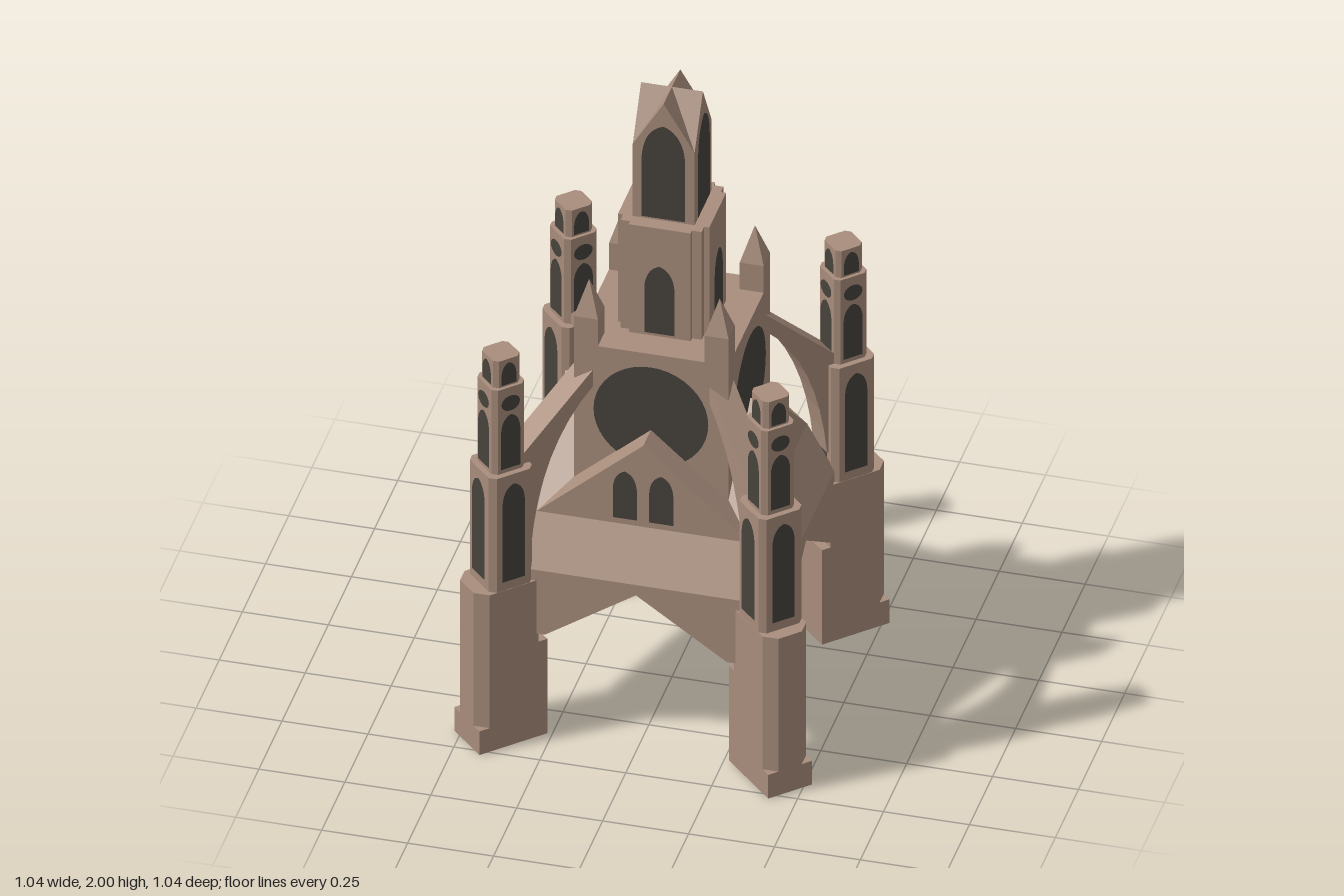
import * as THREE from 'three';

const stone = new THREE.MeshStandardMaterial({ color: 0xa88d7c });
stone.name = 'stone';
const darkGlass = new THREE.MeshStandardMaterial({ color: 0x47433c });
darkGlass.name = 'darkGlass';

function mesh(name, geometry, material = stone) {
  const m = new THREE.Mesh(geometry, material);
  m.name = name;
  return m;
}

// Upright prism over a plan outline
function prism(plan, y0, y1) {
  const shape = new THREE.Shape(plan.map(([x, z]) => new THREE.Vector2(x, -z)));
  const g = new THREE.ExtrudeGeometry(shape, { depth: y1 - y0, bevelEnabled: false });
  return g.rotateX(-Math.PI / 2).translate(0, y0, 0);
}

function box(x0, x1, y0, y1, z0, z1) {
  return new THREE.BoxGeometry(x1 - x0, y1 - y0, z1 - z0)
    .translate((x0 + x1) / 2, (y0 + y1) / 2, (z0 + z1) / 2);
}

// Flat-faced surface from convex polygons, repeated on all four sides
function fourSided(polygons) {
  const pos = [];
  for (let k = 0; k < 4; k++) {
    const turn = ([x, y, z]) => [[x, y, z], [z, y, -x], [-x, y, -z], [-z, y, x]][k];
    for (const p of polygons)
      for (let i = 1; i < p.length - 1; i++)
        pos.push(...turn(p[0]), ...turn(p[i]), ...turn(p[i + 1]));
  }
  const g = new THREE.BufferGeometry();
  g.setAttribute('position', new THREE.Float32BufferAttribute(pos, 3));
  g.computeVertexNormals();
  return g;
}

// Two crossing gable roofs with level ridges
function crossGable(h, base, top) {
  const c = [0, top, 0], f = [0, top, h], r = [h, base, h], l = [-h, base, h];
  return fourSided([[l, r, f], [c, f, r], [c, l, f]]);
}

// Square plan with cut corners
function chamfered(cx, a, c) {
  return [[a, a - c], [a - c, a], [c - a, a], [-a, a - c],
    [-a, c - a], [c - a, -a], [a - c, -a], [a, c - a]].map(([x, z]) => [x + cx, z]);
}

function archWindow(w, y0, y1, x = 0) {
  const s = new THREE.Shape(), r = w / 2, spring = y1 - w * 0.85;
  s.moveTo(x - r, y0);
  s.lineTo(x + r, y0);
  s.lineTo(x + r, spring);
  s.quadraticCurveTo(x + r * 0.9, y1 - w * 0.15, x, y1);
  s.quadraticCurveTo(x - r * 0.9, y1 - w * 0.15, x - r, spring);
  return new THREE.ShapeGeometry(s, 10);
}

// Copies of a flat pane on the four faces of a square tower
function panes(name, geometry, half, parent, cx = 0) {
  for (let k = 0; k < 4; k++) {
    const pivot = new THREE.Group();
    pivot.name = name;
    pivot.position.x = cx;
    pivot.rotation.y = k * Math.PI / 2;
    const pane = mesh(name + 'Pane', geometry, darkGlass);
    pane.position.z = half + 0.003;
    pivot.add(pane);
    parent.add(pivot);
  }
}

// Leg, turret and flying buttress; local +x points outward along the diagonal
function createCorner() {
  const g = new THREE.Group();
  const c = 0.555, t = 0.071, cut = 0.033;
  g.add(mesh('legPlinth', box(0.445, 0.665, 0, 0.08, -t, t)));
  g.add(mesh('legShaft', prism([[0.473, t], [0.665 - cut, t], [0.665, t - cut],
    [0.665, cut - t], [0.665 - cut, -t], [0.473, -t]], 0.08, 0.53)));
  g.add(mesh('legInnerPier', box(0.445, 0.5, 0.08, 0.32, -t, t)));

  // Stepped turret
  g.add(mesh('turretLower', prism(chamfered(c, 0.07, 0.017), 0.53, 0.915)));
  g.add(mesh('turretMiddle', prism(chamfered(c, 0.053, 0.014), 0.915, 1.2)));
  g.add(mesh('turretTop', prism(chamfered(c, 0.043, 0.013), 1.2, 1.29)));
  panes('turretLowerWindow', archWindow(0.072, 0.56, 0.885), 0.07, g, c);
  panes('turretMiddleWindow', archWindow(0.062, 0.93, 1.11), 0.053, g, c);
  const oculus = new THREE.CircleGeometry(0.03, 20).scale(1, 0.85, 1).translate(0, 1.148, 0);
  panes('turretOculus', oculus, 0.053, g, c);
  panes('turretTopWindow', archWindow(0.048, 1.207, 1.28), 0.043, g, c);

  // Buttress with a curved underside
  const s = new THREE.Shape();
  s.moveTo(0.2, 1.23);
  s.lineTo(0.2, 1.14);
  s.lineTo(0.28, 1.1);
  s.quadraticCurveTo(0.45, 0.95, 0.48, 0.62);
  s.lineTo(0.513, 0.62);
  s.lineTo(0.513, 0.94);
  const buttress = new THREE.ExtrudeGeometry(s, { depth: 0.078, bevelEnabled: false, curveSegments: 8 });
  g.add(mesh('flyingButtress', buttress.translate(0, 0, -0.039)));
  return g;
}

export function createModel() {
  const model = new THREE.Group();
  model.name = 'gothicTower';

  // Vaulted hall: arched walls, sloped band, corner faces and groin vault
  const C = [0, 0.53, 0], F = [0, 0.53, 0.39], K = [0.265, 0.35, 0.265], E = [0.265, 0.35, 0.39];
  const G = [0.31, 0.35, 0.39], D = [0.31, 0.565, 0.39], H = [0.39, 0.35, 0.31], I = [0.39, 0.565, 0.31];
  const P = [0.39, 0.35, 0.265], T = [0.31, 0.71, 0.31];
  const m = ([x, y, z]) => [-x, y, z];
  model.add(mesh('vaultedHall', fourSided([
    [m(D), m(G), m(E)], [m(D), m(E), F], [m(D), F, D], [F, E, D], [E, G, D],
    [m(D), D, T, m(T)],
    [G, H, I, D], [D, I, T],
    [C, K, E, F], [C, F, m(E), m(K)], [K, P, H, G, E],
  ])));
  model.add(mesh('hallRoof', crossGable(0.31, 0.71, 0.985)));
  for (const x of [-0.053, 0.053])
    panes('gableWindow', archWindow(0.07, 0.73, 0.89, x), 0.31, model);

  // Central block with large round windows
  model.add(mesh('centralBlock', box(-0.225, 0.225, 0.7, 1.24, -0.225, 0.225)));
  panes('roundWindow', new THREE.CircleGeometry(0.167, 40).translate(0, 1.03, 0), 0.225, model);

  // Belfry with stepped corners
  const belfryPlan = [];
  for (let k = 0; k < 4; k++)
    for (const [x, z] of [[0.133, -0.09], [0.133, 0.09], [0.118, 0.09], [0.118, 0.118], [0.09, 0.118]])
      belfryPlan.push([[x, z], [-z, x], [-x, -z], [z, -x]][k]);
  model.add(mesh('belfry', prism(belfryPlan, 1.24, 1.605)));
  panes('belfryWindow', archWindow(0.088, 1.25, 1.478), 0.133, model);

  // Lantern with crossing gables
  model.add(mesh('lantern', box(-0.09, 0.09, 1.605, 1.85, -0.09, 0.09)));
  model.add(mesh('lanternRoof', crossGable(0.09, 1.85, 2)));
  panes('lanternWindow', archWindow(0.126, 1.612, 1.925), 0.09, model);

  // Corner pinnacles
  for (const x of [-0.19, 0.19])
    for (const z of [-0.19, 0.19]) {
      model.add(mesh('pinnacle', box(x - 0.035, x + 0.035, 1.18, 1.33, z - 0.035, z + 0.035)));
      const tip = new THREE.ConeGeometry(0.035 * Math.SQRT2, 0.11, 4, 1, true).toNonIndexed();
      tip.computeVertexNormals();
      model.add(mesh('pinnacleTip', tip.rotateY(Math.PI / 4).translate(x, 1.385, z)));
    }

  for (let k = 0; k < 4; k++) {
    const corner = createCorner();
    corner.name = 'cornerTower';
    corner.rotation.y = Math.PI / 4 + k * Math.PI / 2;
    model.add(corner);
  }
  return model;
}
